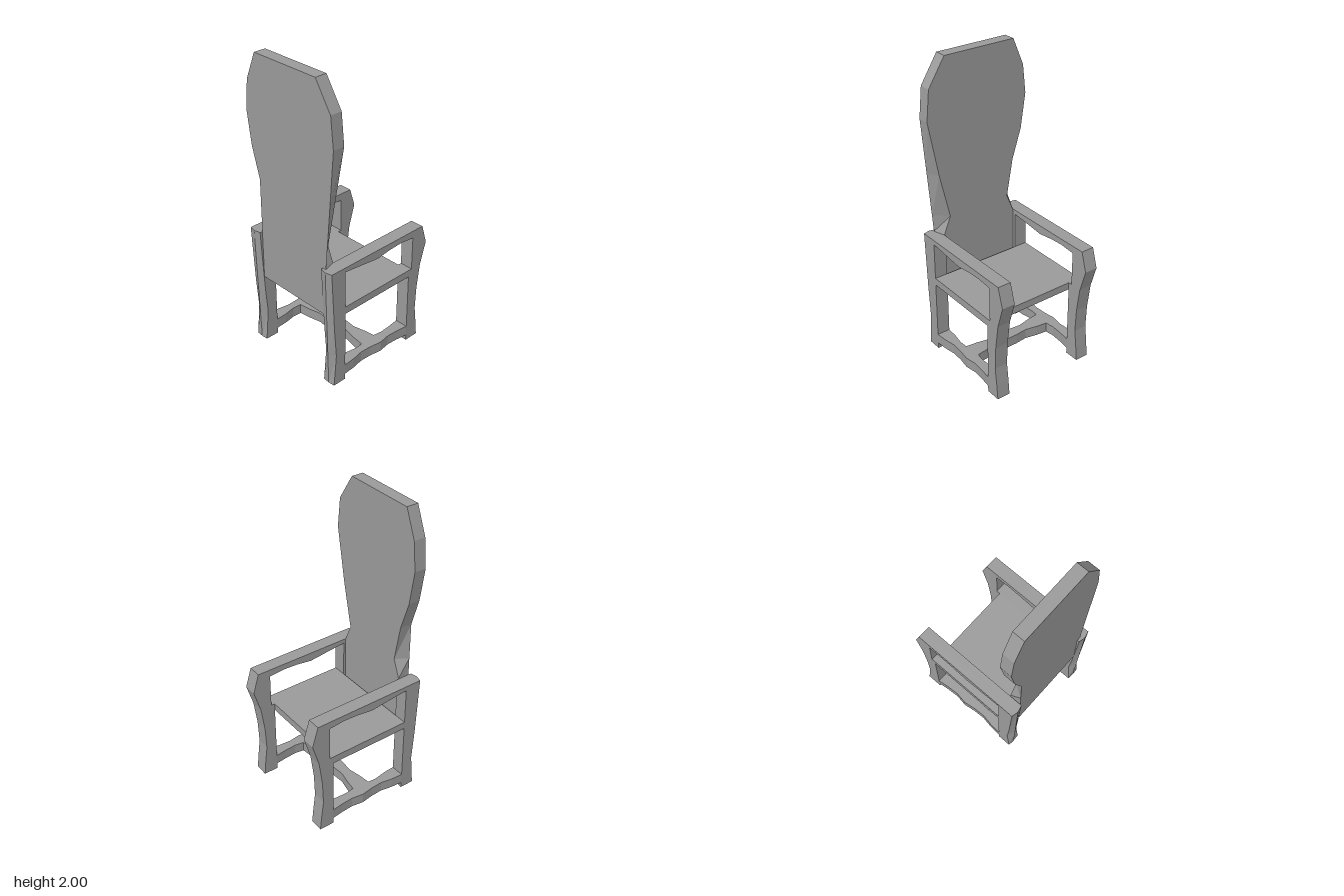
import * as THREE from 'three';

const wood = new THREE.MeshStandardMaterial({ color: 0x999999 });
wood.name = 'greyWood';

const toShape = (pts) => new THREE.Shape(pts.map(([x, y]) => new THREE.Vector2(x, y)));
const extrude = (shape, depth, steps = 1) =>
  new THREE.ExtrudeGeometry(shape, { depth, steps, bevelEnabled: false });

// Move every vertex by a rule, then refresh the flat normals
function reshape(geometry, rule) {
  const p = geometry.attributes.position;
  const v = new THREE.Vector3();
  for (let i = 0; i < p.count; i++) {
    v.fromBufferAttribute(p, i);
    rule(v);
    p.setXYZ(i, v.x, v.y, v.z);
  }
  geometry.computeVertexNormals();
  return geometry;
}

function add(parent, name, geometry) {
  const mesh = new THREE.Mesh(geometry, wood);
  mesh.name = name;
  parent.add(mesh);
  return mesh;
}

// Legs, seat rail and armrest cut from one slab
function sideFrameGeometry() {
  const shape = toShape([
    [-0.39, 0], [-0.295, 0], [-0.295, 0.5], [0.26, 0.5], [0.26, 0],
    [0.36, 0], [0.35, 0.1], [0.335, 0.22], [0.342, 0.38], [0.365, 0.55],
    [0.41, 0.7], [0.37, 0.83], [-0.405, 0.83], [-0.385, 0.42], [-0.37, 0.22],
  ]);
  shape.holes.push(new THREE.Path([
    [-0.295, 0.55], [-0.295, 0.8], [-0.2, 0.79], [-0.1, 0.778], [-0.03, 0.77],
    [0.08, 0.785], [0.18, 0.79], [0.285, 0.78], [0.285, 0.55],
  ].map(([x, y]) => new THREE.Vector2(x, y))));
  const geometry = extrude(shape, 0.09, 2);
  geometry.translate(0, 0, -0.045);
  // Shallow ridge down the outside of the rear leg
  return reshape(geometry, (v) => {
    if (v.x < -0.36 && Math.abs(v.z) < 0.01) v.x = -0.393 - 0.022 * (v.y / 0.83);
  });
}

// Horizontal bar with a wavy plan outline, lying along x
function stretcherGeometry(length, halfWidths) {
  const n = halfWidths.length - 1;
  const at = (i) => -length / 2 + (length * i) / n;
  const near = halfWidths.map((w, i) => [at(i), -w]);
  const far = halfWidths.map((w, i) => [at(i), w]).reverse();
  const geometry = extrude(toShape([...near, ...far]), 0.07);
  geometry.rotateX(-Math.PI / 2);
  return geometry;
}

// Tall shaped back: waisted at the front face, straighter at the rear face
function backrestGeometry() {
  const outline = [
    [0.275, 0.5], [0.275, 0.83], [0.225, 0.95], [0.295, 1.25], [0.365, 1.62],
    [0.345, 1.82], [0.23, 2], [-0.27, 2], [-0.345, 1.82], [-0.365, 1.63],
    [-0.33, 1.4], [-0.265, 1.2], [-0.22, 0.95], [-0.27, 0.83], [-0.27, 0.5],
  ];
  const geometry = extrude(toShape(outline.map(([z, y]) => [-z, y])), 0.08);
  geometry.rotateY(Math.PI / 2);
  geometry.translate(-0.39, 0, 0);
  return reshape(geometry, (v) => {
    if (v.x > -0.35 || v.y < 0.8 || v.y > 1.3) return;
    if (v.z > 0) v.z = 0.3 + 0.065 * (v.y - 0.83) / 0.79;
    else v.z = -0.27;
  });
}

export function createModel() {
  const chair = new THREE.Group();
  chair.name = 'armchair';

  const frame = sideFrameGeometry();
  const sideBar = stretcherGeometry(0.56, [0.045, 0.04, 0.026, 0.03, 0.042, 0.03, 0.035, 0.045]);
  for (const [name, z] of [['near', 0.32], ['far', -0.32]]) {
    add(chair, name + 'SideFrame', frame).position.z = z;
    add(chair, name + 'SideStretcher', sideBar).position.set(-0.0175, 0.04, z);
  }

  // Cross bar joining the two side stretchers
  const crossBar = add(chair, 'crossStretcher',
    stretcherGeometry(0.59, [0.06, 0.05, 0.032, 0.04, 0.04, 0.032, 0.05, 0.06]));
  crossBar.rotation.y = Math.PI / 2;
  crossBar.position.set(-0.0175, 0.04, 0);

  const seat = add(chair, 'seat', new THREE.BoxGeometry(0.555, 0.05, 0.55));
  seat.position.set(-0.0175, 0.525, 0);

  add(chair, 'backrest', backrestGeometry());
  return chair;
}
